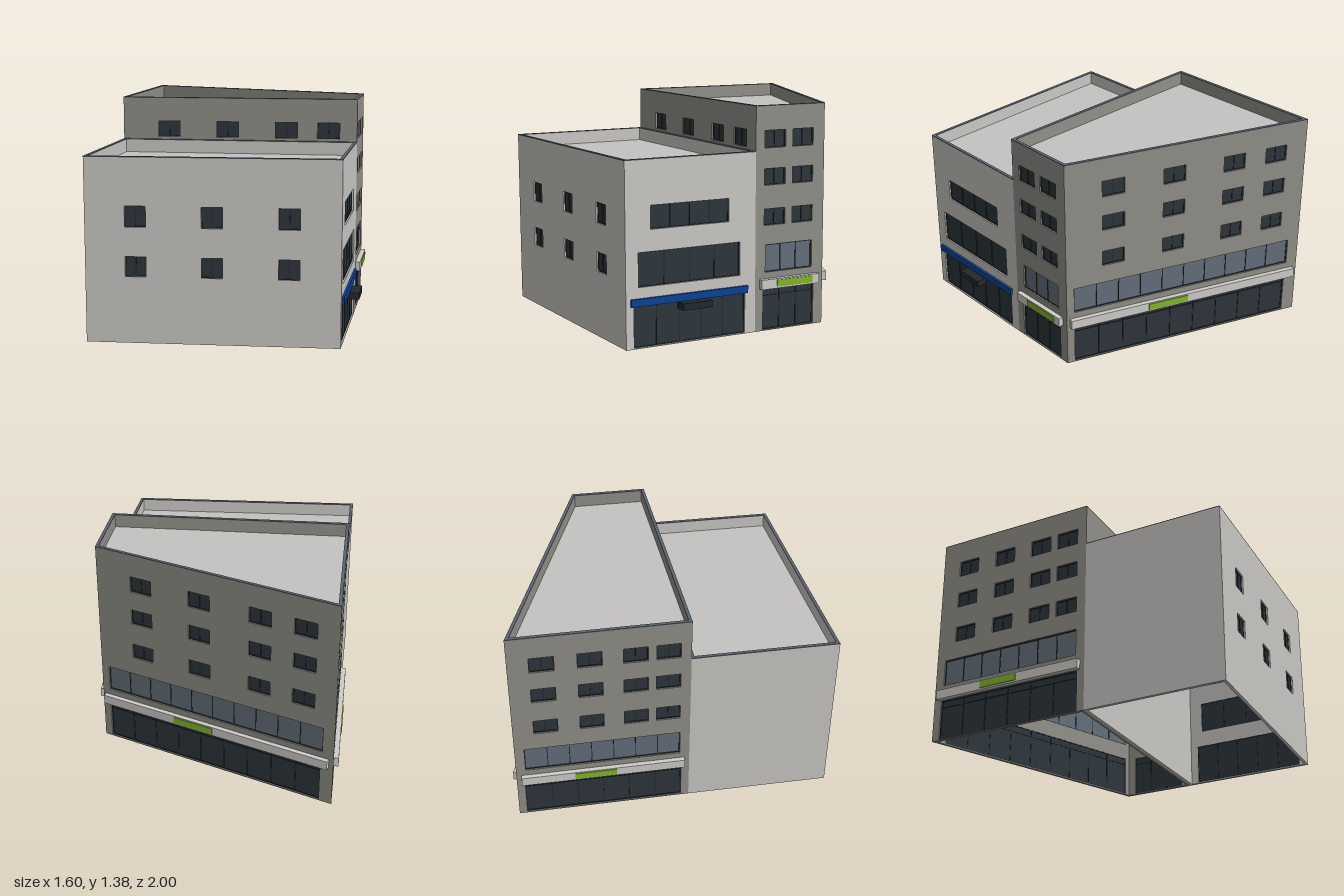
import * as THREE from 'three';

const mat = (name, color, side = THREE.FrontSide) => {
  const m = new THREE.MeshStandardMaterial({ color, side });
  m.name = name;
  return m;
};

export function createModel() {
  const M = {
    light: mat('light wall', 0xcac8c4),
    grey: mat('grey wall', 0x908f88),
    roof: mat('roof', 0xc4c3c1, THREE.DoubleSide),
    coping: mat('coping', 0x5b646e),
    dark: mat('dark glass', 0x2d353c),
    pale: mat('pale glass', 0x646f7b),
    frame: mat('window frame', 0x22282d),
    sign: mat('sign band', 0xcfcdc9),
    blue: mat('blue sign', 0x0b4296),
    green: mat('green panel', 0x82b62b),
  };
  const T = 0.02; // wall thickness
  const model = new THREE.Group();
  model.name = 'cornerBuildings';

  const box = (parent, name, material, u0, u1, y0, y1, z0, z1) => {
    const mesh = new THREE.Mesh(new THREE.BoxGeometry(u1 - u0, y1 - y0, z1 - z0), material);
    mesh.position.set((u0 + u1) / 2, (y0 + y1) / 2, (z0 + z1) / 2);
    mesh.name = name;
    parent.add(mesh);
  };

  // Flat slab in wall coordinates with holes; inner ends are mitred at the corners
  const slab = (L, y0, y1, m0, m1, holes) => {
    const s = new THREE.Shape([[0, y0], [L, y0], [L, y1], [0, y1]].map(p => new THREE.Vector2(...p)));
    for (const o of holes) {
      s.holes.push(new THREE.Path([[o.u0, o.y0], [o.u0, o.y1], [o.u1, o.y1], [o.u1, o.y0]]
        .map(p => new THREE.Vector2(...p))));
    }
    const g = new THREE.ExtrudeGeometry(s, { depth: T, bevelEnabled: false }).translate(0, 0, -T);
    const p = g.attributes.position;
    for (let i = 0; i < p.count; i++) {
      if (p.getZ(i) > -T / 2) continue;
      if (p.getX(i) < 1e-5) p.setX(i, m0);
      else if (p.getX(i) > L - 1e-5) p.setX(i, L - m1);
    }
    g.computeVertexNormals();
    return g;
  };

  // Recessed glazing with frame, mullions and optional transom
  const glaze = (wall, o) => {
    const f = 0.005;
    box(wall, 'glass', o.mat, o.u0, o.u1, o.y0, o.y1, -0.017, -0.013);
    box(wall, 'frameTop', M.frame, o.u0, o.u1, o.y1 - f, o.y1, -0.019, -0.009);
    box(wall, 'frameBottom', M.frame, o.u0, o.u1, o.y0, o.y0 + f, -0.019, -0.009);
    for (let i = 0; i <= o.n; i++) {
      const u = o.u0 + f / 2 + (o.u1 - o.u0 - f) * i / o.n;
      box(wall, 'mullion', M.frame, u - f / 2, u + f / 2, o.y0, o.y1, -0.019, -0.009);
    }
    if (o.transom) box(wall, 'transom', M.frame, o.u0, o.u1, o.transom, o.transom + f, -0.019, -0.009);
  };

  // Hollow building from a plan; walls follow the plan, outside on their right
  const building = (name, plan, h, material, openings) => {
    const group = new THREE.Group();
    group.name = name;
    const pts = plan.map(p => new THREE.Vector2(...p));
    const n = pts.length;
    const miter = i => {
      const a = pts[(i + n - 1) % n].clone().sub(pts[i]).normalize();
      const b = pts[(i + 1) % n].clone().sub(pts[i]).normalize();
      return T / Math.tan(Math.acos(a.dot(b)) / 2);
    };
    const walls = pts.map((a, i) => {
      const b = pts[(i + 1) % n];
      const L = a.distanceTo(b), m0 = miter(i), m1 = miter((i + 1) % n);
      const wall = new THREE.Group();
      wall.name = ['frontWall', 'streetWall', 'backWall', 'sideWall'][i];
      wall.position.set(a.x, 0, a.y);
      wall.rotation.y = Math.atan2(-(b.y - a.y), b.x - a.x);
      const body = new THREE.Mesh(slab(L, 0, h - 0.006, m0, m1, openings[i]), material);
      body.name = 'wall';
      const cap = new THREE.Mesh(slab(L, h - 0.006, h, m0, m1, []), M.coping);
      cap.name = 'coping';
      wall.add(body, cap);
      openings[i].forEach(o => glaze(wall, o));
      group.add(wall);
      return wall;
    });
    // Sunken roof behind the parapet
    const c = pts.reduce((s, p) => s.add(p), new THREE.Vector2()).divideScalar(n);
    const inner = pts.map(p => p.clone().sub(c).multiplyScalar(0.988).add(c));
    const roof = new THREE.Mesh(
      new THREE.ShapeGeometry(new THREE.Shape(inner.map(p => new THREE.Vector2(p.x, -p.y)))).rotateX(-Math.PI / 2),
      M.roof);
    roof.position.y = h - 0.085;
    roof.name = 'roof';
    group.add(roof);
    model.add(group);
    return walls;
  };

  const open = (u0, u1, y0, y1, n, m = M.dark, transom = 0) => ({ u0, u1, y0, y1, n, mat: m, transom });
  const shop = (u0, u1, n) => open(u0, u1, 0.006, 0.262, n, M.dark, 0.215);
  const band = (u0, u1, n) => open(u0, u1, 0.365, 0.535, n, M.pale);
  const grid = (centres, half, rows) =>
    rows.flatMap(([y0, y1]) => centres.map(u => open(u - half, u + half, y0, y1, 2)));

  // Low light building
  const lowRows = [[0.4, 0.52], [0.695, 0.82]];
  const low = building('lowBuilding', [[-0.8, 0.99], [0.7, 0.94], [0.74, 0.09], [-0.77, 0.09]], 1.11, M.light, [
    grid([0.3, 0.75, 1.2], 0.062, lowRows),
    [open(0.05, 0.78, 0.006, 0.26, 5), open(0.08, 0.745, 0.365, 0.57, 4), open(0.16, 0.67, 0.7, 0.84, 4)],
    [], [],
  ]);
  box(low[1], 'blueSign', M.blue, 0.03, 0.795, 0.255, 0.3, 0, 0.015);
  box(low[1], 'entranceCanopy', M.frame, 0.33, 0.52, 0.215, 0.256, 0, 0.075);

  // Tall grey building
  const rows = [[0.655, 0.755], [0.9, 1.0], [1.125, 1.23]];
  const W = 0.073;
  const tall = building('tallBuilding', [[-0.77, 0.09], [0.74, 0.09], [0.76, -0.39], [-0.74, -0.99]], 1.38, M.grey, [
    [shop(0.05, 1.46, 9), ...grid([0.3, 0.68, 1.06, 1.33], W, rows)],
    [shop(0.055, 0.415, 3), band(0.07, 0.4, 3), ...grid([0.133, 0.328], W, rows)],
    [shop(0.05, 1.53, 9), band(0.05, 1.54, 10), ...grid([0.31, 0.71, 1.115, 1.405], W, rows)],
    [shop(0.05, 1.03, 6), band(0.06, 1.02, 7), ...grid([0.2, 0.48, 0.75, 0.945], W, rows)],
  ]);
  // Sign bands with green panels: wall, band start/end, panel start/end
  for (const [i, a, b, g0, g1] of [[1, 0.03, 0.44, 0.135, 0.39], [2, 0.02, 1.585, 0.54, 0.81], [3, 0.03, 1.05, 0.36, 0.62]]) {
    box(tall[i], 'signBand', M.sign, a, b, 0.265, 0.325, 0, 0.03);
    box(tall[i], 'greenPanel', M.green, g0, g1, 0.275, 0.318, 0.03, 0.035);
  }
  return model;
}
